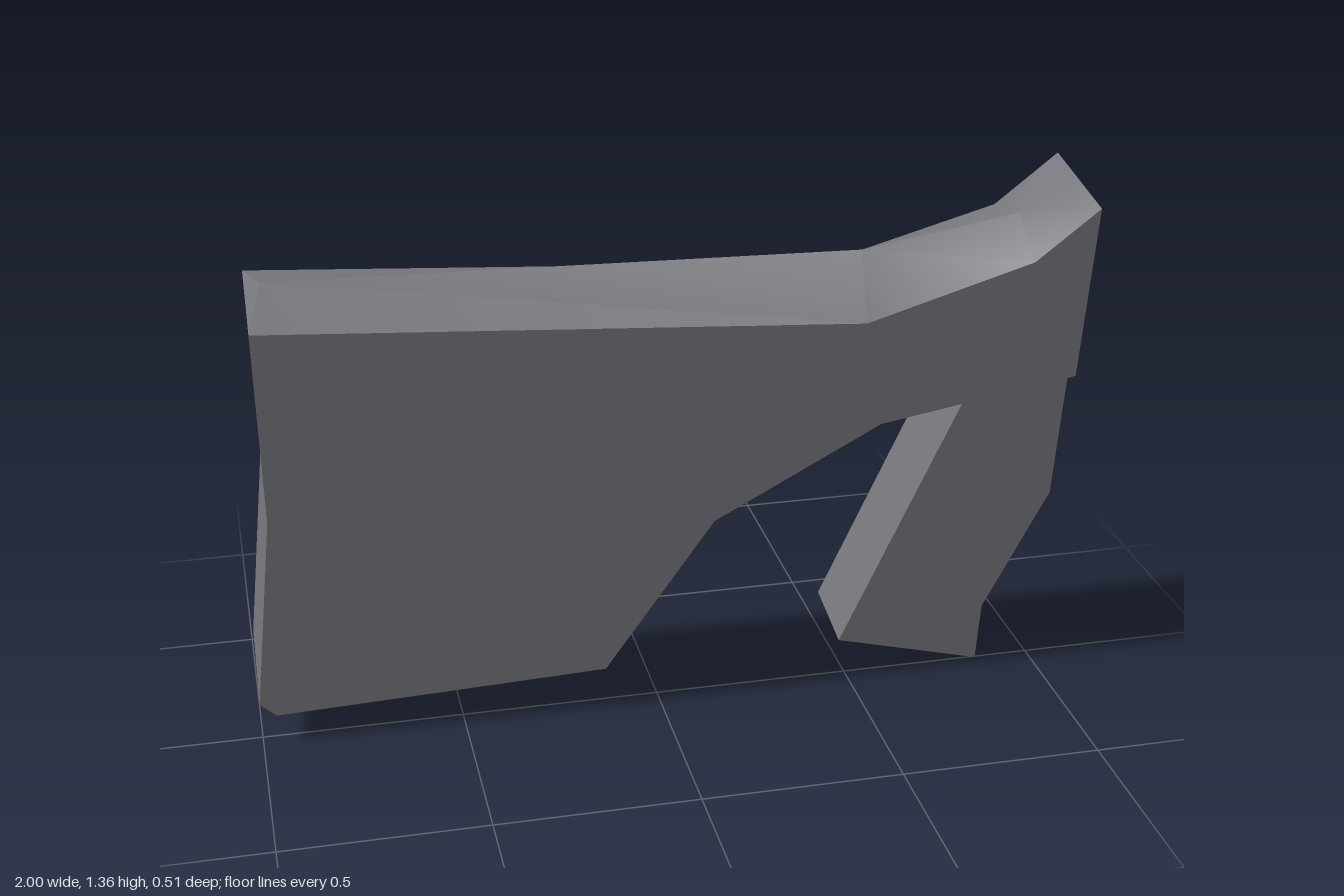
import * as THREE from 'three';
import { toCreasedNormals } from 'three/addons/utils/BufferGeometryUtils.js';

const v = (x, y, z) => new THREE.Vector3(x, y, z);

// Collects triangles and quads given counter-clockwise from outside
class Builder {
  constructor() { this.points = []; }
  tri(a, b, c) { this.points.push(a, b, c); }
  quad(a, b, c, d) { this.tri(a, b, c); this.tri(a, c, d); }
  // Both flat sides of an outline, half a width either way
  sides(outline, h) {
    const contour = outline.map(([x, y]) => new THREE.Vector2(x, y));
    for (const [i, j, k] of THREE.ShapeUtils.triangulateShape(contour, [])) {
      const [a, b, c] = [outline[i], outline[j], outline[k]];
      this.tri(v(...a, h), v(...b, h), v(...c, h));
      this.tri(v(...a, -h), v(...c, -h), v(...b, -h));
    }
  }
  wall(a, b, h) { this.quad(v(...a, h), v(...a, -h), v(...b, -h), v(...b, h)); }
  mesh(name, material) {
    const geometry = new THREE.BufferGeometry().setFromPoints(this.points);
    const mesh = new THREE.Mesh(toCreasedNormals(geometry, 0.55), material);
    mesh.name = name;
    return mesh;
  }
}

export function createModel() {
  const grey = new THREE.MeshStandardMaterial({ color: 0x77767c });
  grey.name = 'grey';
  const model = new THREE.Group();
  model.name = 'stock';

  // Main body: lower and end edge, then shoulders (front end to rear), then rear edge
  const h = 0.148;
  const lower = [[-0.96, 0.104], [-0.14, 0.144], [0.12, 0.57], [0.52, 0.812], [1, 0.903]];
  const shoulder = [[1, 1.356], [0.855, 1.227], [0.46, 1.096], [-0.955, 1.187]];
  const ridge = [[1, 1.356], [0.86, 1.28], [0.48, 1.21], [-0.92, 1.235]];
  const rear = [[-0.947, 0.68], [-1, 0.144]];
  const body = new Builder();
  body.sides([...lower, ...shoulder, ...rear], h);
  for (let i = 0; i < 4; i++) body.wall(lower[i], lower[i + 1], h);
  const back = [shoulder[3], ...rear, lower[0]];
  for (let i = 0; i < 3; i++) body.wall(back[i], back[i + 1], h);

  // Ridged top
  for (let i = 0; i < 3; i++) {
    const [a, b] = [shoulder[i], shoulder[i + 1]];
    const [ra, rb] = [v(...ridge[i], 0), v(...ridge[i + 1], 0)];
    body.quad(v(...a, h), ra, rb, v(...b, h));
    body.quad(v(...a, -h), v(...b, -h), rb, ra);
  }
  body.tri(v(...shoulder[3], h), v(...ridge[3], 0), v(...shoulder[3], -h));

  // Sunken end with bevelled rim
  const outer = [v(1, 0.903, h), v(1, 0.903, -h), v(1, 1.356, -h), v(1, 1.356, h)];
  const inner = [v(0.98, 0.995, 0.126), v(0.98, 0.995, -0.134), v(0.98, 1.305, -0.134), v(0.98, 1.305, 0.126)];
  for (let i = 0; i < 4; i++) {
    const j = (i + 1) % 4;
    body.quad(outer[i], outer[j], inner[j], inner[i]);
  }
  model.add(body.mesh('body', grey));

  const panel = new Builder();
  panel.quad(...inner);
  model.add(panel.mesh('endPanel', grey));

  // Grip
  const gripOutline = [[0.48, 0.122], [0.86, 0.017], [0.86, 0.188], [1, 0.532], [1, 0.928], [0.775, 0.928]];
  const grip = new Builder();
  grip.sides(gripOutline, 0.104);
  gripOutline.forEach((p, i) => grip.wall(p, gripOutline[(i + 1) % gripOutline.length], 0.104));
  model.add(grip.mesh('grip', grey));

  // Lean and slight turn of the whole piece
  model.rotation.set(0.155, -0.0137, 0, 'YXZ');
  model.position.z = -0.113;
  const root = new THREE.Group();
  root.name = 'model';
  root.add(model);
  return root;
}
